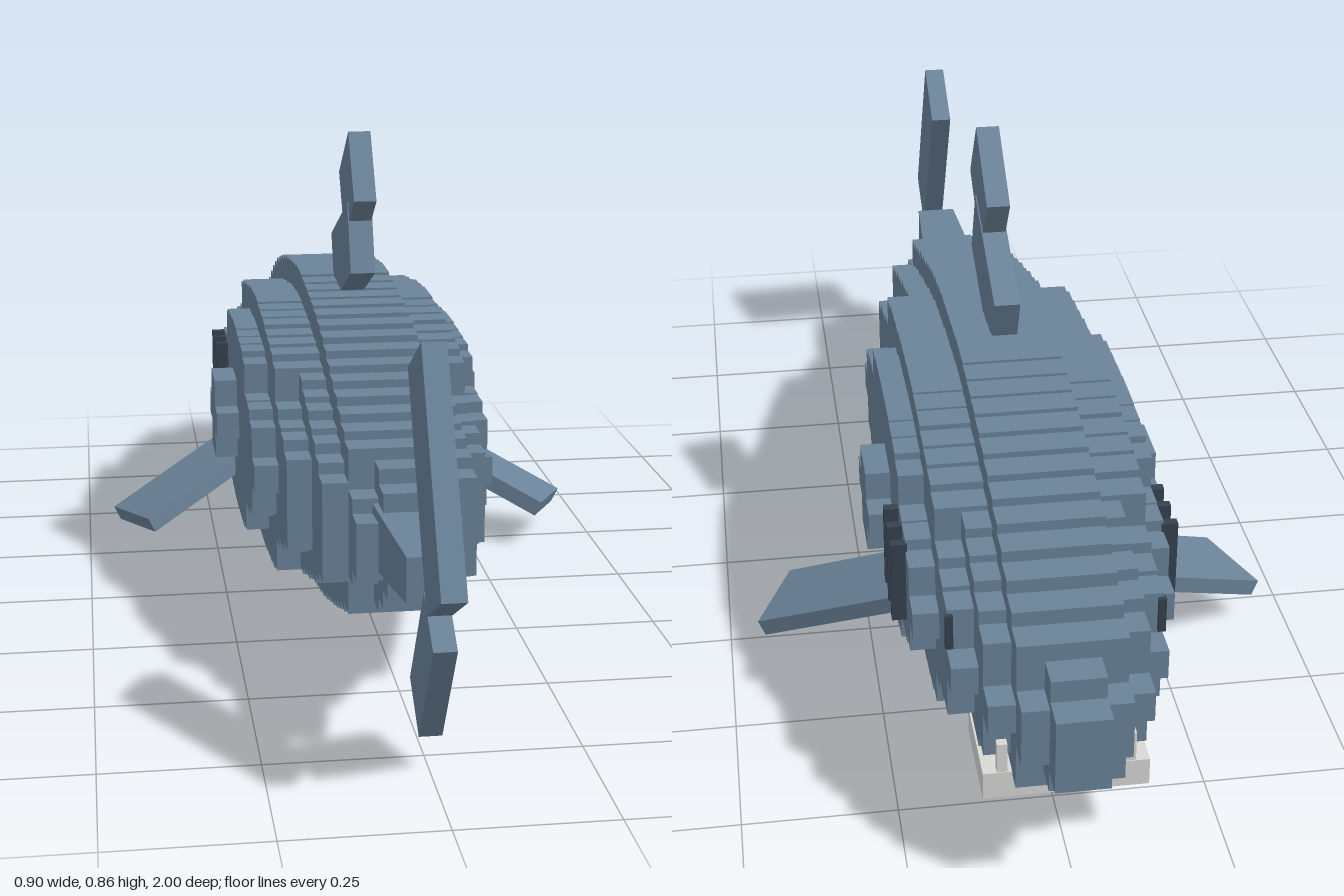
import * as THREE from 'three';
import { mergeGeometries } from 'three/addons/utils/BufferGeometryUtils.js';

const CELL = 0.0845;   // width step of the blocks
const SLICE = 0.05;    // block size along the body
const MID = 0.283;     // height of the body axis

// Half height of each body slice, from nose (z = -1) to tail root
const HALF_HEIGHTS = [
  0.063, 0.1, 0.13, 0.155, 0.178, 0.197, 0.214, 0.228, 0.24, 0.25, 0.259,
  0.266, 0.271, 0.2755, 0.28, 0.28, 0.2755, 0.272, 0.268, 0.264, 0.258,
  0.25, 0.24, 0.228, 0.214, 0.2, 0.186, 0.17, 0.155, 0.14, 0.12, 0.095, 0.063,
];

function boxAt(w, h, d, x, y, z) {
  return new THREE.BoxGeometry(w, h, d).translate(x, y, z);
}

// Stacked rows of blocks approximating an elliptical section per slice
function bodyGeometry() {
  const boxes = [];
  HALF_HEIGHTS.forEach((h, s) => {
    const z = -1 + SLICE * (s + 0.5);
    const rows = Math.max(1, Math.round((2 * h) / 0.051));
    const rowHeight = (2 * h) / rows;
    for (let i = 0; i < rows; i++) {
      const t = (2 * i + 1) / rows - 1;
      const cells = Math.max(1, Math.round(h * 20.05 * Math.sqrt(1 - t * t)));
      boxes.push(boxAt(cells * CELL, rowHeight, SLICE, 0, MID + t * h, z));
    }
  });
  return mergeGeometries(boxes);
}

// Flat fin from a (z, y) outline, centred on x = 0
function finGeometry(points, thickness) {
  const shape = new THREE.Shape(points.map(([z, y]) => new THREE.Vector2(-z, y)));
  return new THREE.ExtrudeGeometry(shape, { depth: thickness, bevelEnabled: false })
    .translate(0, 0, -thickness / 2)
    .rotateY(Math.PI / 2);
}

// Tapered tail stem: a box whose rear end is narrower
function tailStemGeometry() {
  const g = new THREE.BoxGeometry(1, 1, 1);
  const p = g.attributes.position;
  for (let i = 0; i < p.count; i++) {
    const rear = p.getZ(i) > 0;
    const up = p.getY(i) > 0;
    p.setXYZ(
      i,
      Math.sign(p.getX(i)) * (rear ? 0.038 : 0.055),
      up ? 0.347 : rear ? 0.275 : 0.237,
      rear ? 0.81 : 0.5,
    );
  }
  g.computeVertexNormals();
  return g;
}

// Side fin slanting outwards, down and back
function sideFinGeometry(side) {
  const span = new THREE.Vector3(0.805 * side, -0.403, 0.436).normalize();
  const chord = new THREE.Vector3(-0.44 * side, 0.1, 0.89);
  chord.addScaledVector(span, -chord.dot(span)).normalize();
  const normal = new THREE.Vector3().crossVectors(chord, span);
  const centre = new THREE.Vector3(0.413 * side, 0.073, -0.245).addScaledVector(span, -0.16);
  const m = new THREE.Matrix4().makeBasis(span, normal, chord).setPosition(centre);
  return new THREE.BoxGeometry(0.32, 0.03, 0.147).applyMatrix4(m);
}

export function createModel() {
  const group = new THREE.Group();
  const material = (name, color) => {
    const m = new THREE.MeshStandardMaterial({ color });
    m.name = name;
    return m;
  };
  const skin = material('slate blue', 0x6b8399);
  const dark = material('dark slate', 0x36424e);
  const pale = material('pale grey', 0xd8d8d6);

  const add = (name, geometry, mat) => {
    const mesh = new THREE.Mesh(geometry, mat);
    mesh.name = name;
    group.add(mesh);
  };

  add('body', bodyGeometry(), skin);
  add('tailStem', tailStemGeometry(), skin);

  // Back fin in two slanted blocks
  add('backFinBase', finGeometry([[0, 0.735], [-0.24, 0.635], [-0.19, 0.515], [0.05, 0.615]], 0.044), skin);
  add('backFinTip', finGeometry([[0, 0.863], [-0.134, 0.77], [-0.054, 0.657], [0.08, 0.75]], 0.04), skin);

  // Tail fin lobes
  add('upperTailFin', finGeometry([[0.81, 0.672], [0.69, 0.605], [0.877, 0.28], [0.998, 0.345]], 0.038), skin);
  add('lowerTailFin', finGeometry([[0.845, 0.305], [0.93, 0.245], [0.81, 0.062], [0.723, 0.122]], 0.036), skin);

  // Jaw plate
  add('jaw', boxAt(0.26, 0.047, 0.163, 0, 0.134, -0.786), pale);

  for (const side of [1, -1]) {
    const label = side > 0 ? 'left' : 'right';
    add(label + 'SideFin', sideFinGeometry(side), skin);
    add(label + 'Eye', boxAt(0.012, 0.06, 0.012, 0.166 * side, 0.345, -0.752), dark);
    add(label + 'Tooth', boxAt(0.016, 0.055, 0.014, 0.1 * side, 0.182, -0.859), pale);
    // Gill bars
    for (const z of [-0.438, -0.492, -0.546]) {
      add(label + 'Gill', boxAt(0.027, 0.145, 0.016, 0.222 * side, 0.305, z), dark);
    }
  }
  return group;
}
